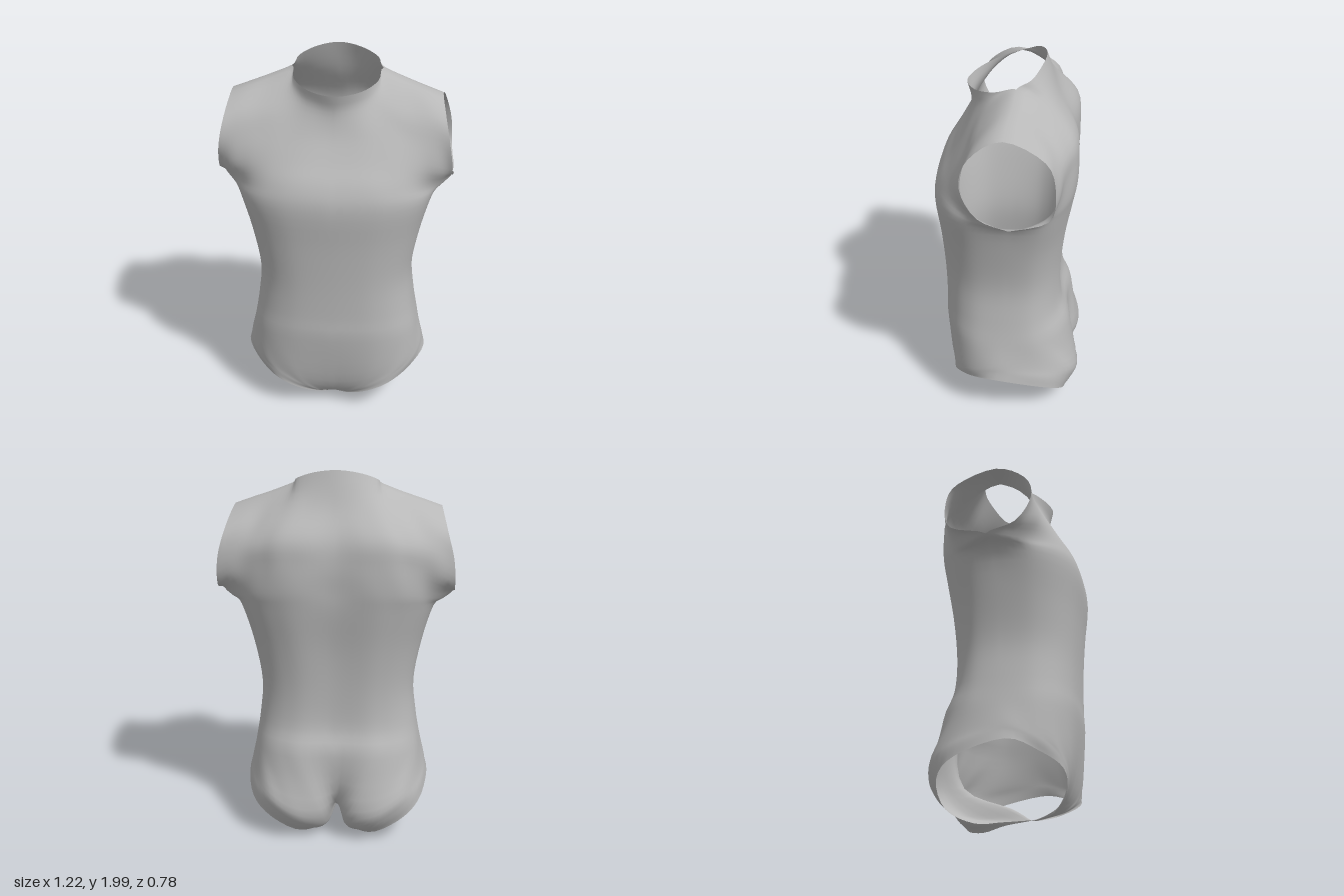
import * as THREE from 'three';
import { mergeVertices } from 'three/addons/utils/BufferGeometryUtils.js';

const COLS = 6;          // control columns run from the centre line to the side
const ARMPIT = 8;        // row where the side column meets the sleeve opening
const LAST = 12;         // row along the neck and shoulder
const STEP = 4;          // subdivisions per control cell

// Trunk sections: height, half width, front depth, back depth, side z, spine groove
const sections = [
  [0.50, 0.455, 0.350, 0.350, 0.02, 0.03],
  [0.65, 0.430, 0.350, 0.295, 0.01, 0.02],
  [0.85, 0.413, 0.355, 0.285, 0.00, 0.015],
  [1.08, 0.450, 0.370, 0.305, 0.00, 0.02],
  [1.30, 0.512, 0.390, 0.340, -0.02, 0.02],
];

// Leg opening and hip rows, from the edge upward
const frontHip = [
  [[0, .035, .08], [.012, .035, .11], [.04, .055, .2], [.16, .125, .285], [.3, .2, .295], [.42, .255, .2], [.5, .3, .05]],
  [[0, .07, .21], [.05, .085, .235], [.12, .13, .28], [.23, .2, .305], [.34, .26, .28], [.44, .305, .19], [.49, .34, .04]],
  [[0, .2, .3], [.13, .22, .31], [.22, .26, .315], [.31, .3, .295], [.39, .33, .25], [.455, .36, .16], [.482, .385, .03]],
];
const backHip = [
  [[0, .035, .08], [.035, .025, -.06], [.1, .01, -.19], [.22, .055, -.305], [.38, .16, -.31], [.47, .24, -.2], [.5, .3, .05]],
  [[0, .1, -.02], [.045, .06, -.22], [.12, .08, -.32], [.24, .14, -.365], [.38, .235, -.325], [.465, .3, -.19], [.49, .34, .04]],
  [[0, .22, -.27], [.07, .21, -.355], [.16, .22, -.388], [.26, .25, -.383], [.37, .31, -.325], [.45, .36, -.18], [.482, .385, .03]],
];

// Chest and back rows, up to the neck edge and shoulder line
const shoulder = [[.23, 1.915, -.04], [.33, 1.875, -.03], [.44, 1.835, -.01], [.535, 1.8, 0]];
const frontChest = [
  [[0, 1.42, .36], [.18, 1.42, .355], [.3, 1.41, .33], [.39, 1.4, .285], [.46, 1.38, .22], [.54, 1.36, .12], [.605, 1.36, -.03]],
  [[0, 1.53, .29], [.16, 1.53, .29], [.28, 1.52, .28], [.37, 1.51, .26], [.45, 1.49, .235], [.53, 1.46, .2], [.6, 1.42, .12]],
  [[0, 1.65, .225], [.14, 1.65, .225], [.26, 1.65, .21], [.35, 1.64, .2], [.43, 1.62, .2], [.51, 1.6, .2], [.582, 1.57, .2]],
  [[0, 1.76, .2], [.11, 1.77, .18], [.21, 1.785, .135], [.3, 1.775, .125], [.39, 1.755, .13], [.48, 1.74, .14], [.555, 1.71, .16]],
  [[0, 1.85, .22], [.13, 1.86, .17], [.21, 1.885, .07], ...shoulder],
];
const backChest = [
  [[0, 1.42, -.33], [.18, 1.42, -.35], [.3, 1.41, -.335], [.39, 1.4, -.3], [.46, 1.38, -.25], [.54, 1.355, -.17], [.605, 1.36, -.03]],
  [[0, 1.55, -.335], [.16, 1.55, -.35], [.28, 1.55, -.345], [.37, 1.54, -.31], [.45, 1.51, -.28], [.53, 1.47, -.26], [.605, 1.42, -.22]],
  [[0, 1.68, -.315], [.15, 1.68, -.335], [.27, 1.68, -.33], [.36, 1.66, -.3], [.44, 1.64, -.275], [.52, 1.61, -.26], [.595, 1.57, -.25]],
  [[0, 1.83, -.235], [.11, 1.82, -.24], [.21, 1.81, -.235], [.3, 1.79, -.21], [.39, 1.76, -.19], [.48, 1.74, -.19], [.56, 1.71, -.2]],
  [[0, 2, -.175], [.11, 1.985, -.155], [.2, 1.95, -.11], ...shoulder],
];

// Quarter of a rounded-box section, front or back
function sectionRow([y, w, front, back, side, groove], isBack) {
  return Array.from({ length: COLS + 1 }, (_, i) => {
    const a = (i / COLS) * Math.PI / 2;
    const x = w * Math.sin(a) ** 0.72;
    const c = i === COLS ? 0 : Math.cos(a) ** 0.72;
    const z = isBack ? side - (back + side) * c + groove * Math.exp(-((x / 0.1) ** 2))
      : side + (front - side) * c;
    return [x, y, z];
  });
}

const mix = (a, b, f) => a.map((v, i) => f(v, b[i]));
const extend = (a, b) => mix(a, b, (p, q) => 2 * p - q);
const mirror = ([x, y, z]) => [-x, y, z];

function spline(p0, p1, p2, p3, t) {
  return p1.map((b, i) => {
    const a = p0[i], c = p2[i], d = p3[i];
    return b + 0.5 * t * (c - a + t * (2 * a - 5 * b + 4 * c - d + t * (3 * (b - c) + d - a)));
  });
}

// Point on a column; the seams take their tangents from both panels
function columnPoint(grid, other, c, i, t) {
  const at = (r) => {
    if (r < 0) return extend(grid[0][c], grid[1][c]);
    if (r > LAST) return c >= 3 ? other[LAST - 1][c] : extend(grid[LAST][c], grid[LAST - 1][c]);
    if (c === COLS && r > ARMPIT && i < ARMPIT) return mix(grid[r][c], other[r][c], (p, q) => (p + q) / 2);
    return grid[r][c];
  };
  return spline(at(i - 1), at(i), at(i + 1), at(i + 2), t);
}

function surfacePoint(grid, other, u, v) {
  const i = Math.min(Math.floor(v), LAST - 1), j = Math.min(Math.floor(u), COLS - 1);
  const at = (c) => {
    if (c < 0) return mirror(at(-c));
    if (c > COLS) {
      return v <= ARMPIT ? columnPoint(other, grid, COLS - 1, i, v - i) : extend(at(COLS), at(COLS - 1));
    }
    if (v === LAST && j >= 3 && c < 3) return extend(at(3), at(4));
    return columnPoint(grid, other, c, i, v - i);
  };
  return spline(at(j - 1), at(j), at(j + 1), at(j + 2), u - j);
}

// Adds one panel, either half, to the shared vertex lists
function addPanel(positions, indices, grid, other, isBack, side) {
  const nu = COLS * STEP, nv = LAST * STEP, start = positions.length / 3;
  for (let r = 0; r <= nv; r++) {
    for (let c = 0; c <= nu; c++) {
      const [x, y, z] = surfacePoint(grid, other, c / STEP, r / STEP);
      positions.push(c === 0 ? 0 : side * x, Math.max(0, y), z);
    }
  }
  const flip = isBack !== (side < 0);
  for (let r = 0; r < nv; r++) {
    for (let c = 0; c < nu; c++) {
      const a = start + r * (nu + 1) + c, b = a + 1, d = a + nu + 1, e = d + 1;
      if (flip) indices.push(a, e, b, a, d, e);
      else indices.push(a, b, e, a, e, d);
    }
  }
}

export function createModel() {
  const group = new THREE.Group();
  group.name = 'sleevelessBodysuit';
  const grey = new THREE.MeshStandardMaterial({ color: 0xb8b8b8, side: THREE.DoubleSide });
  grey.name = 'grey';

  const front = [...frontHip, ...sections.map((s) => sectionRow(s, false)), ...frontChest];
  const back = [...backHip, ...sections.map((s) => sectionRow(s, true)), ...backChest];

  // Front and back panels, mirrored, welded into one smooth open shell
  const positions = [], indices = [];
  for (const side of [1, -1]) {
    addPanel(positions, indices, front, back, false, side);
    addPanel(positions, indices, back, front, true, side);
  }
  let geometry = new THREE.BufferGeometry();
  geometry.setAttribute('position', new THREE.Float32BufferAttribute(positions, 3));
  geometry.setIndex(indices);
  geometry = mergeVertices(geometry, 1e-4);
  geometry.computeVertexNormals();

  const torso = new THREE.Mesh(geometry, grey);
  torso.name = 'torsoShell';
  group.add(torso);
  return group;
}
